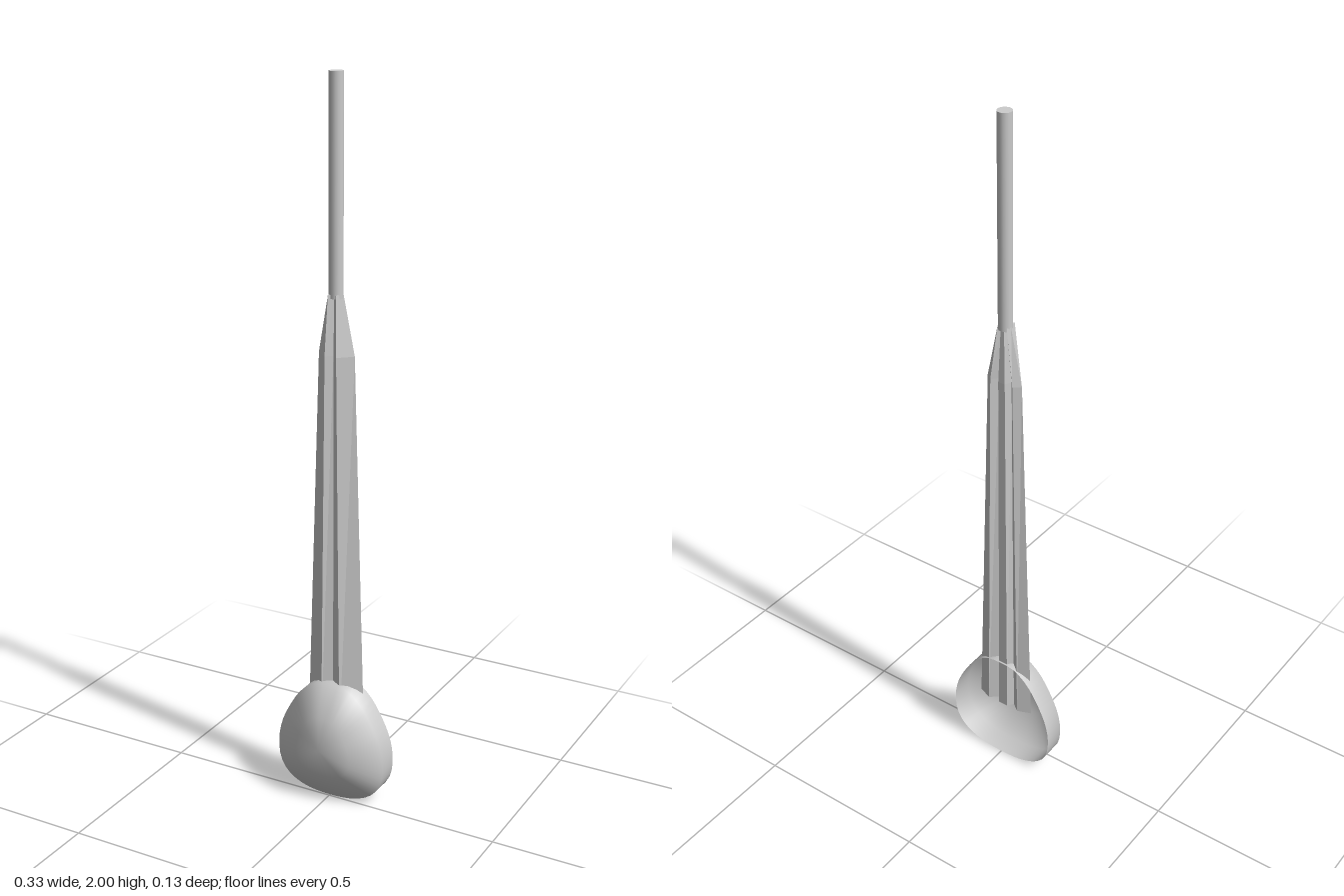
import * as THREE from 'three';
import { mergeVertices } from 'three/addons/utils/BufferGeometryUtils.js';

const material = (flat) => new THREE.MeshStandardMaterial({
  color: 0xcccccc, flatShading: flat, side: THREE.DoubleSide,
});

// Skin between closed rings of equal length; flip reverses the facing.
function loft(rings, flip, caps) {
  const n = rings[0].length;
  const index = [];
  const tri = (a, b, c) => (flip ? index.push(a, c, b) : index.push(a, b, c));
  for (let j = 0; j < rings.length - 1; j++) {
    for (let i = 0; i < n; i++) {
      const k = (i + 1) % n;
      const a = j * n + i, b = j * n + k, c = b + n, d = a + n;
      tri(a, b, c);
      tri(a, c, d);
    }
  }
  if (caps) {
    const last = (rings.length - 1) * n;
    const flat = (ring) => ring.map(([x, , z]) => new THREE.Vector2(x, -z));
    THREE.ShapeUtils.triangulateShape(flat(rings[0]), []).forEach(([a, b, c]) => tri(a, c, b));
    THREE.ShapeUtils.triangulateShape(flat(rings[rings.length - 1]), [])
      .forEach(([a, b, c]) => tri(last + a, last + b, last + c));
  }
  let geometry = new THREE.BufferGeometry();
  geometry.setAttribute('position', new THREE.Float32BufferAttribute(rings.flat(2), 3));
  geometry.setIndex(index);
  geometry = mergeVertices(geometry, 1e-5);
  geometry.computeVertexNormals();
  return geometry;
}

// Egg-shaped shell, open at the back, with a straight wall and a domed front.
function createBowl() {
  const half = [[0.045, 0.343], [0.09, 0.31], [0.13, 0.25], [0.156, 0.19],
    [0.165, 0.13], [0.157, 0.075], [0.13, 0.037], [0.08, 0.012]];
  const points = [[0, 0.348], ...half, [0, 0.003],
    ...half.slice().reverse().map(([x, y]) => [-x, y])];
  const outline = new THREE.CatmullRomCurve3(
    points.map(([x, y]) => new THREE.Vector3(x, y, 0)), true).getSpacedPoints(48).slice(0, 48);
  const midY = 0.175;
  const levels = [[-0.067, 1], [-0.005, 1], [0.043, 0.51], [0.065, 0]];
  const rings = levels.map(([z, s]) => outline.map((p) => [p.x * s, midY + (p.y - midY) * s, z]));
  const bowl = new THREE.Mesh(loft(rings, true, false), material(false));
  bowl.name = 'bowl';
  return bowl;
}

// Pleated, tapering handle: two front ridges, side wings and a grooved back.
function createHandle() {
  // y, wing x, ridge x, back edge x, groove x, spine x, z scale
  const levels = [
    [0.19, 0.088, 0.029, 0.05, 0.026, 0.014, 1],
    [1.28, 0.053, 0.017, 0.034, 0.019, 0.01, 1],
    [1.44, 0.019, 0.012, 0.014, 0.009, 0.005, 0.72],
  ];
  const rings = levels.map(([y, wing, ridge, edge, groove, spine, s]) => {
    const right = [[ridge, -0.013], [wing, -0.048], [edge, -0.063], [groove, -0.045], [spine, -0.062]];
    const left = right.map(([x, z]) => [-x, z]).reverse();
    const section = [[0, -0.03], ...right, ...left];
    return section.map(([x, z]) => [x - 0.004, y, -0.044 + (z + 0.044) * s]);
  });
  const handle = new THREE.Mesh(loft(rings, false, true), material(true));
  handle.name = 'pleatedHandle';
  return handle;
}

// Round rod at the top.
function createRod() {
  const rod = new THREE.Mesh(new THREE.CylinderGeometry(0.019, 0.019, 0.57, 16), material(false));
  rod.position.set(-0.004, 1.715, -0.044);
  rod.name = 'rod';
  return rod;
}

export function createModel() {
  const model = new THREE.Group();
  model.name = 'spoon';
  model.add(createBowl(), createHandle(), createRod());
  return model;
}
